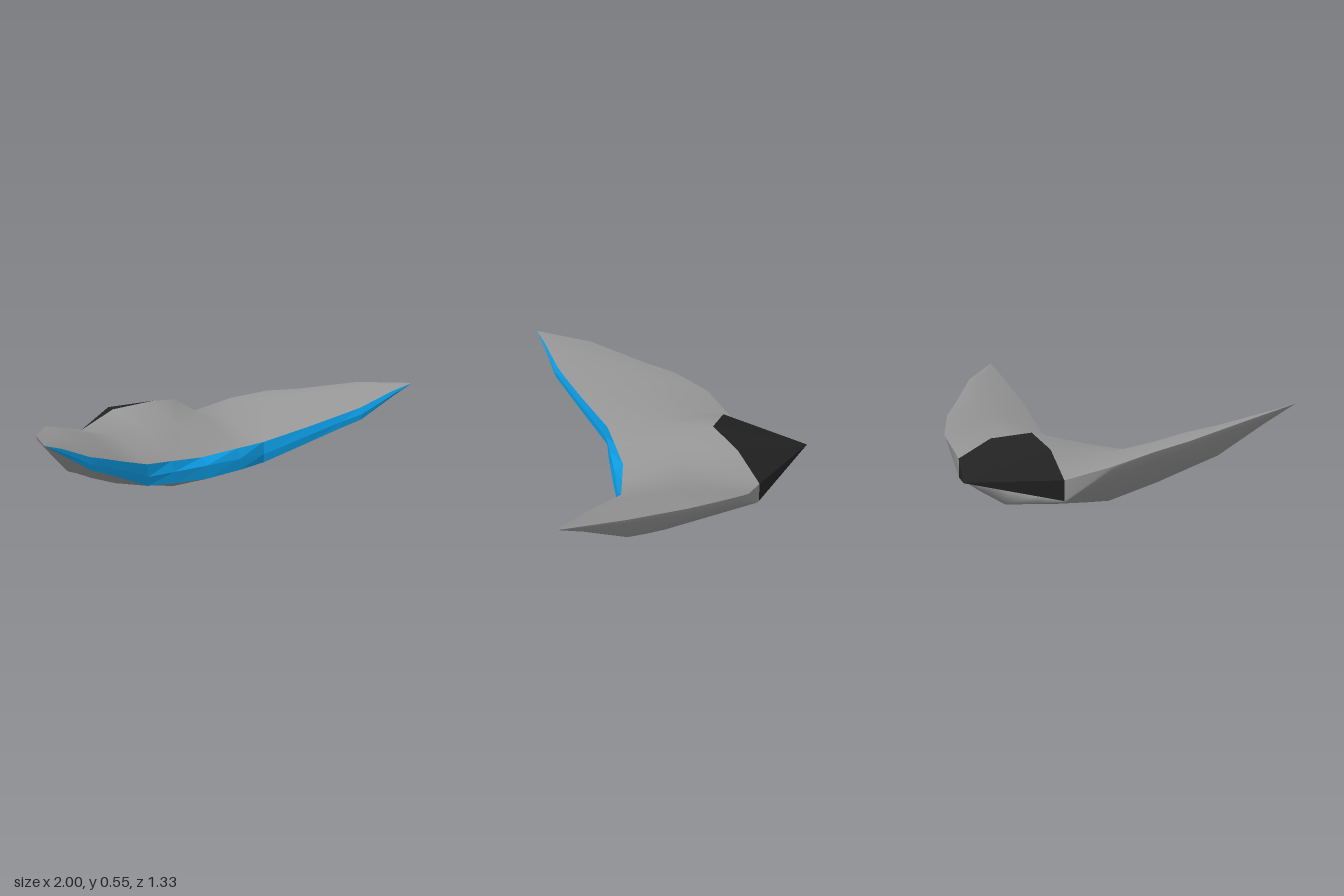
import * as THREE from 'three';

// Half-span stations: x, then [z, y] around the section:
// front top, front middle, front bottom, keel, rear low, rear rim, trailing edge, crown
const HALF = [
  [0.00, [.29, .23], [.335, .20], [.345, .137], [.02, 0], [-.375, .09], [-.345, .16], [-.17, .41], [.06, .335]],
  [0.19, [.315, .25], [.34, .203], [.345, .148], [.02, .043], [-.358, .125], [-.343, .16], [-.26, .37], [.03, .345]],
  [0.335, [.335, .265], [.345, .205], [.34, .16], [.02, .078], [-.33, .152], [-.34, .16], [-.34, .26], [.02, .325]],
  [0.53, [.45, .345], [.46, .305], [.455, .265], [.15, .178], [-.19, .28], [-.23, .32], [-.24, .335], [.1, .39]],
  [0.66, [.522, .40], [.532, .367], [.53, .335], [.25, .255], [-.04, .35], [-.075, .38], [-.08, .395], [.2, .44]],
  [0.75, [.565, .435], [.58, .405], [.578, .378], [.35, .308], [.11, .4], [.09, .42], [.085, .43], [.3, .464]],
  [0.905, [.622, .512], [.63, .497], [.625, .485], [.51, .458], [.38, .487], [.367, .497], [.365, .505], [.5, .516]],
  [1.00, ...Array(8).fill([.66, .55])],
];

// Full span, from the right tip to the left tip
const SPAN = [
  ...HALF.slice(1).reverse().map(([x, ...pts]) => [-x, ...pts]),
  ...HALF,
];

// Skin stretched across the span through the chosen section points
function skin(name, columns, material, skip = () => false) {
  const pos = [], idx = [], n = columns.length;
  for (const [x, ...pts] of SPAN) for (const c of columns) pos.push(x, pts[c][1], pts[c][0]);
  for (let i = 0; i < SPAN.length - 1; i++) {
    const xMid = Math.abs(SPAN[i][0] + SPAN[i + 1][0]) / 2;
    for (let j = 0; j < n - 1; j++) {
      if (skip(xMid, columns[j])) continue;
      const a = i * n + j, b = a + 1, c = a + n, d = c + 1;
      idx.push(a, b, c, b, d, c);
    }
  }
  let geo = new THREE.BufferGeometry();
  geo.setAttribute('position', new THREE.Float32BufferAttribute(pos, 3));
  geo.setIndex(idx);
  if (material.flatShading) geo = geo.toNonIndexed();
  geo.computeVertexNormals();
  const mesh = new THREE.Mesh(geo, material);
  mesh.name = name;
  return mesh;
}

// Faceted tail cone from the open rear rim to a point
function tailCone(material) {
  const side = [[.19, .37, -.26], [.335, .26, -.34], [.335, .16, -.34], [.19, .16, -.343]];
  const rim = [
    [0, .41, -.17], ...side, [0, .16, -.345],
    ...side.slice().reverse().map(([x, y, z]) => [-x, y, z]),
  ];
  const apex = [0, .26, -.665], pos = [];
  rim.forEach((p, i) => pos.push(...p, ...rim[(i + 1) % rim.length], ...apex));
  const geo = new THREE.BufferGeometry();
  geo.setAttribute('position', new THREE.Float32BufferAttribute(pos, 3));
  geo.computeVertexNormals();
  const mesh = new THREE.Mesh(geo, material);
  mesh.name = 'tailCone';
  return mesh;
}

export function createModel() {
  const hullGrey = new THREE.MeshStandardMaterial({ name: 'hullGrey', color: 0x959595, side: THREE.DoubleSide });
  const glowBlue = new THREE.MeshStandardMaterial({ name: 'edgeBlue', color: 0x0c9ae0, flatShading: true, side: THREE.DoubleSide });
  const tailBlack = new THREE.MeshStandardMaterial({ name: 'tailBlack', color: 0x222222, flatShading: true, side: THREE.DoubleSide });

  const group = new THREE.Group();
  group.name = 'flyingWing';
  group.add(
    skin('upperHull', [6, 7, 0], hullGrey),
    // the rear stays open where the tail cone sits
    skin('lowerHull', [2, 3, 4, 5, 6], hullGrey, (x, c) => c === 5 && x < 0.33),
    skin('leadingEdge', [0, 1, 2], glowBlue),
    tailCone(tailBlack),
  );
  return group;
}
